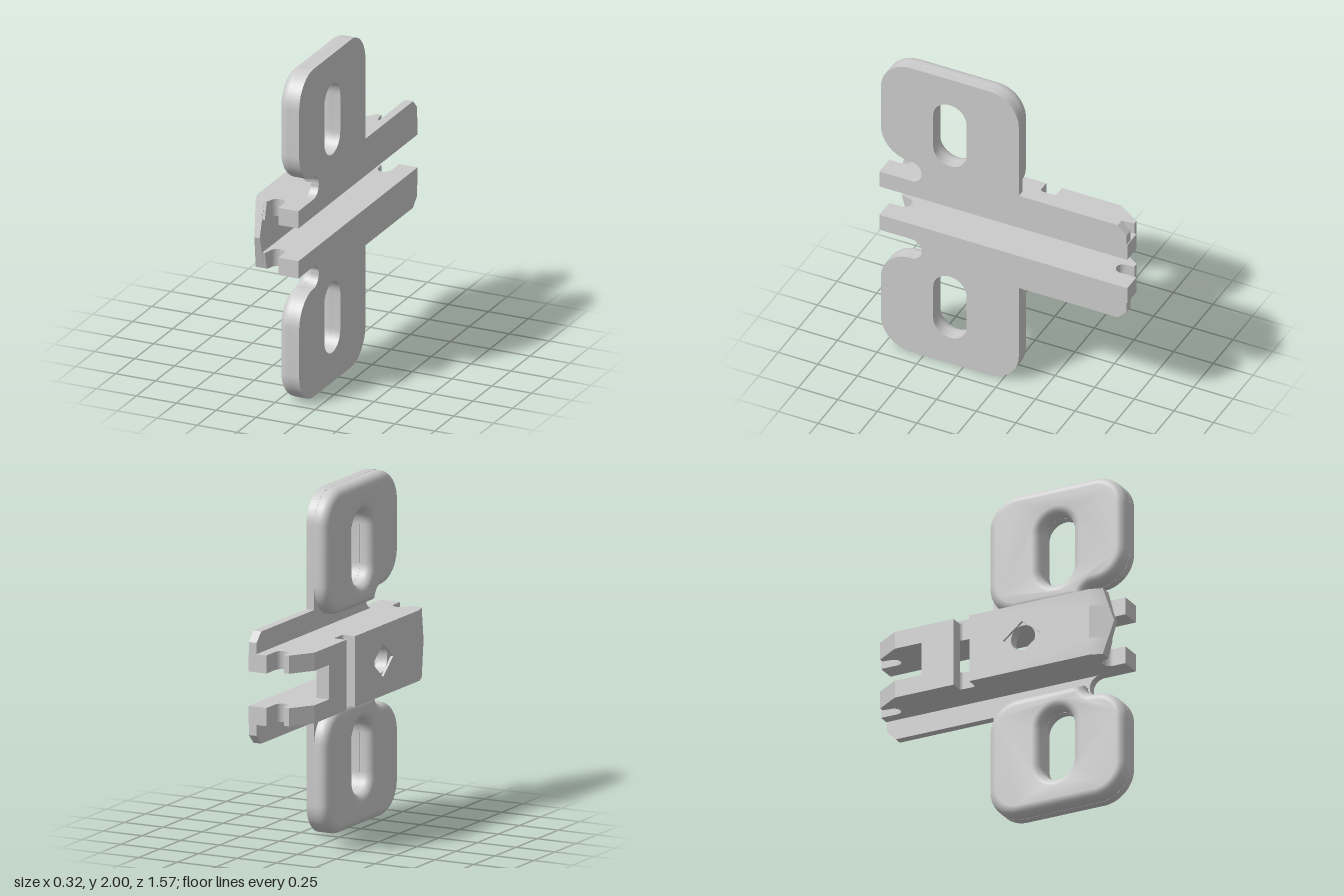
import * as THREE from 'three';
import { toCreasedNormals } from 'three/addons/utils/BufferGeometryUtils.js';

const material = new THREE.MeshStandardMaterial({ color: 0xcccccc });
const PI = Math.PI;

// Extrude a shape drawn in (-z, y) along x, from x0 to x1
function extrudeX(shape, x0, x1) {
  const g = new THREE.ExtrudeGeometry(shape, { depth: x1 - x0, bevelEnabled: false, curveSegments: 12 });
  return g.rotateY(PI / 2).translate(x0, 0, 0);
}

// Extrude a shape drawn in (x, -z) along y, from y0 to y1
function extrudeY(shape, y0, y1) {
  const g = new THREE.ExtrudeGeometry(shape, { depth: y1 - y0, bevelEnabled: false, curveSegments: 12 });
  return g.rotateX(-PI / 2).translate(0, y0, 0);
}

// Lower copy of an upper part: flip y and reverse each triangle
function mirrored(geometry) {
  const g = geometry.index ? geometry.toNonIndexed() : geometry.clone();
  const src = g.attributes.position.clone();
  const dst = g.attributes.position;
  for (let i = 0; i < src.count; i++) {
    const j = i % 3 === 1 ? i + 1 : i % 3 === 2 ? i - 1 : i;
    dst.setXYZ(i, src.getX(j), -src.getY(j), src.getZ(j));
  }
  return g;
}

// Pull the front tip back away from the middle so it forms a shallow V
function taperNose(g) {
  const p = g.attributes.position;
  for (let i = 0; i < p.count; i++) {
    const limit = 0.785 - 0.3 * Math.abs(p.getY(i));
    if (p.getX(i) < -0.05 && p.getZ(i) > limit) {
      p.setZ(i, limit);
      if (p.getX(i) < -0.1) p.setX(i, -0.16 + (limit - 0.65) * 0.346);
    }
  }
  return g;
}

// Long screw slot in each wing
function slot() {
  const s = new THREE.Path();
  s.absarc(-0.335, 0.715, 0.105, 0, PI, false);
  s.absarc(-0.335, 0.495, 0.105, PI, 2 * PI, false);
  s.closePath();
  return s;
}

// Thin layer: wing outline, round notch and rear flange with a clipped corner
function basePlateShape() {
  const s = new THREE.Shape();
  s.moveTo(-0.58, 0.205);
  s.lineTo(-0.58, 0.19);
  s.lineTo(0.78, 0.19);
  s.lineTo(0.78, 0.27);
  s.lineTo(0.725, 0.325);
  s.lineTo(0.1, 0.325);
  s.lineTo(0.1, 0.81);
  s.absarc(-0.09, 0.81, 0.19, 0, PI / 2, false);
  s.absarc(-0.58, 0.81, 0.19, PI / 2, PI, false);
  s.absarc(-0.58, 0.53, 0.19, PI, 1.5 * PI, false);
  s.absarc(-0.58, 0.2725, 0.0675, PI / 2, -PI / 2, true);
  s.holes.push(slot());
  return s;
}

// Thick body of the wing with rounded rim
function wingGeometry() {
  const s = new THREE.Shape();
  s.moveTo(-0.5, 0.27);
  s.lineTo(-0.09, 0.27);
  s.absarc(-0.09, 0.46, 0.19, -PI / 2, 0, false);
  s.absarc(-0.09, 0.81, 0.19, 0, PI / 2, false);
  s.absarc(-0.58, 0.81, 0.19, PI / 2, PI, false);
  s.absarc(-0.58, 0.53, 0.19, PI, 1.5 * PI, false);
  s.quadraticCurveTo(-0.51, 0.34, -0.5, 0.27);
  s.holes.push(slot());
  const g = new THREE.ExtrudeGeometry(s, {
    depth: 0.025, bevelEnabled: true, bevelThickness: 0.05, bevelSize: 0.05,
    bevelOffset: -0.05, bevelSegments: 6, curveSegments: 12,
  });
  return g.rotateY(PI / 2).translate(0.08, 0, 0);
}

// Side profile of the channel wall with hook notches at both ends
function wallShape() {
  const s = new THREE.Shape();
  s.moveTo(-0.16, -0.65);
  s.lineTo(-0.115, -0.78);
  s.lineTo(-0.08, -0.78);
  s.lineTo(-0.08, -0.75);
  s.lineTo(-0.065, -0.75);
  s.lineTo(-0.055, -0.705);
  s.absarc(-0.01, -0.705, 0.045, PI, 0, true);
  s.lineTo(0.035, -0.78);
  s.lineTo(0.16, -0.78);
  s.lineTo(0.16, 0.785);
  s.lineTo(0.045, 0.785);
  s.lineTo(0.045, 0.68);
  s.absarc(0.005, 0.68, 0.04, 0, -PI, true);
  s.lineTo(-0.04, 0.73);
  s.lineTo(-0.07, 0.73);
  s.lineTo(-0.16, 0.59);
  s.lineTo(-0.16, 0.215);
  s.lineTo(-0.1, 0.215);
  s.quadraticCurveTo(-0.08, 0.215, -0.08, 0.195);
  s.lineTo(-0.08, 0.135);
  s.quadraticCurveTo(-0.08, 0.115, -0.1, 0.115);
  s.lineTo(-0.16, 0.115);
  s.closePath();
  return s;
}

function noseShape() {
  return new THREE.Shape([[-0.16, -0.65], [-0.115, -0.785], [-0.08, -0.785], [-0.08, -0.65]]
    .map(([x, y]) => new THREE.Vector2(x, y)));
}

// Web panel between the walls, from zFront back to zBack
function webShape(zFront, zBack) {
  const s = new THREE.Shape();
  s.moveTo(-zFront, -0.1);
  s.lineTo(-zBack, -0.1);
  s.lineTo(-zBack, 0.1);
  s.lineTo(-zFront, 0.1);
  s.closePath();
  return s;
}

export function createModel() {
  const model = new THREE.Group();
  model.name = 'mountingPlate';
  const body = new THREE.Group();
  body.name = 'body';
  body.position.y = 1;
  model.add(body);

  const add = (name, geometry) => {
    const mesh = new THREE.Mesh(toCreasedNormals(geometry, 0.5), material);
    mesh.name = name;
    body.add(mesh);
  };
  const addPair = (name, geometry) => {
    add('upper' + name, geometry);
    add('lower' + name, mirrored(geometry));
  };

  // Mirrored parts
  addPair('BasePlate', extrudeX(basePlateShape(), 0.11, 0.16));
  addPair('Wing', wingGeometry());
  addPair('ChannelWall', taperNose(extrudeY(wallShape(), 0.1, 0.205)));
  addPair('Nose', taperNose(extrudeY(noseShape(), 0, 0.1)));

  // Solid foot joining the wing to the channel wall
  const foot = new THREE.Shape();
  foot.moveTo(-0.515, 0.19);
  foot.lineTo(0.1, 0.19);
  foot.lineTo(0.1, 0.28);
  foot.lineTo(-0.515, 0.28);
  addPair('WingFoot', extrudeX(foot, 0.111, 0.159));

  // Front web: inner layer with round hole, outer layer with diamond recess
  const inner = webShape(0.65, -0.115);
  inner.holes.push(new THREE.Path().absarc(-0.22, 0, 0.077, 0, 2 * PI, true));
  add('frontWeb', extrudeX(inner, -0.145, -0.08));
  const outer = webShape(0.65, -0.115);
  outer.holes.push(new THREE.Path([[-0.34, 0], [-0.22, 0.098], [-0.1, 0], [-0.22, -0.098]]
    .map(([x, y]) => new THREE.Vector2(x, y))));
  add('frontWebFace', extrudeX(outer, -0.16, -0.145));

  // Rear bridge behind the cross slot
  add('rearWeb', extrudeX(webShape(-0.215, -0.42), -0.16, -0.08));

  return model;
}
